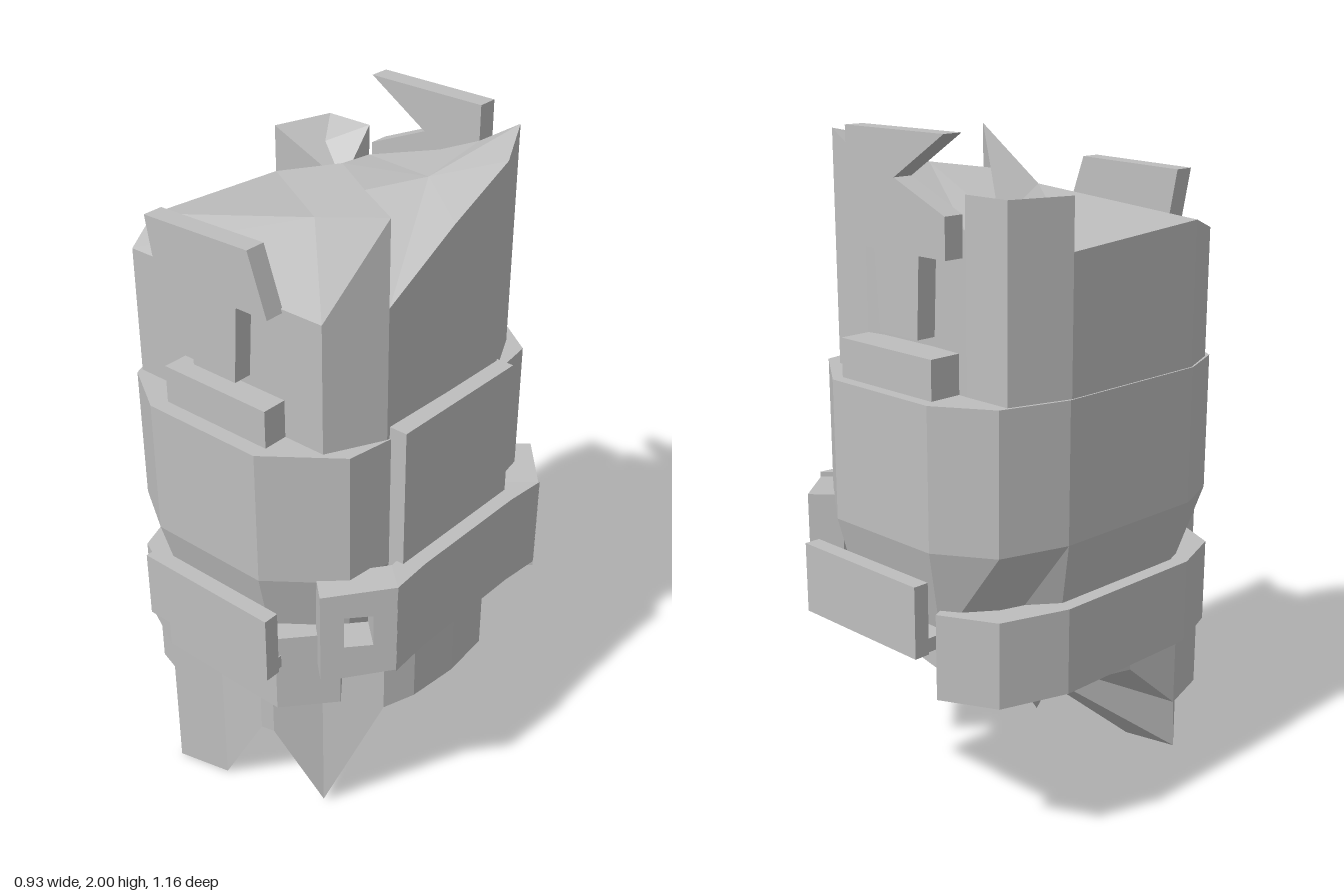
import * as THREE from 'three';

export function createModel() {
  const model = new THREE.Group();
  model.name = 'brokenSegmentedCapsule';
  const grey = new THREE.MeshStandardMaterial({ color: 0xbebebe });
  grey.name = 'stone grey';

  const add = (name, geo) => {
    const m = new THREE.Mesh(geo, grey);
    m.name = name;
    model.add(m);
    return m;
  };
  const box = (name, x0, x1, y0, y1, z0, z1) => {
    const g = new THREE.BoxGeometry(x1 - x0, y1 - y0, Math.abs(z1 - z0));
    g.translate((x0 + x1) / 2, (y0 + y1) / 2, (z0 + z1) / 2);
    return add(name, g);
  };
  const shapeOf = (pts) => new THREE.Shape(pts.map(([x, y]) => new THREE.Vector2(x, y)));
  const extrude = (shape, depth) => new THREE.ExtrudeGeometry(shape, { depth, bevelEnabled: false });

  // Upright prism from an x,z outline
  const prism = (name, plan, y0, y1) => {
    const g = extrude(shapeOf(plan.map(([x, z]) => [x, -z])), y1 - y0);
    g.rotateX(-Math.PI / 2).translate(0, y0, 0);
    return add(name, g);
  };

  // Faceted body through rings of [x, y, z], closed by fans at both ends
  const loft = (name, rings, bottom, top) => {
    const pos = [];
    const tri = (...p) => p.forEach((v) => pos.push(...v));
    const n = rings[0].length;
    const last = rings[rings.length - 1];
    for (let i = 0; i < n; i++) {
      const j = (i + 1) % n;
      for (let k = 0; k + 1 < rings.length; k++) {
        const lo = rings[k], hi = rings[k + 1];
        tri(lo[i], lo[j], hi[j]);
        tri(lo[i], hi[j], hi[i]);
      }
      tri(bottom, rings[0][j], rings[0][i]);
      tri(top, last[i], last[j]);
    }
    const g = new THREE.BufferGeometry();
    g.setAttribute('position', new THREE.Float32BufferAttribute(pos, 3));
    g.computeVertexNormals();
    return add(name, g);
  };

  // Upper drum, snapped into three chunks with stepped tops: x, z, top height
  const chunk = (name, pts, [cx, cy, cz]) => loft(name, [
    pts.map(([x, z]) => [x, 1.3, z]),
    pts.map(([x, z, y]) => [x, y, z]),
  ], [cx, 1.3, cz], [cx, cy, cz]);
  chunk('upperFrontChunk', [
    [-0.455, -0.21, 1.71], [-0.455, 0.28, 1.74], [-0.4, 0.41, 1.7], [0.27, 0.41, 1.7],
    [0.35, 0.25, 1.95], [0.06, 0, 1.86], [-0.25, -0.27, 1.77],
  ], [0, 1.81, 0.13]);
  chunk('upperBackChunk', [
    [0.35, 0.25, 1.71], [0.355, 0, 1.85], [0.355, -0.22, 1.95], [0.27, -0.39, 1.98],
    [0.14, -0.39, 1.9], [0.02, -0.37, 1.85], [-0.25, -0.39, 1.76], [-0.25, -0.27, 1.77], [0.06, 0, 1.86],
  ], [0.16, 1.88, -0.14]);
  chunk('upperCornerChunk', [
    [-0.455, -0.21, 1.85], [-0.25, -0.27, 1.71], [-0.25, -0.39, 1.85], [-0.4, -0.39, 1.85],
  ], [-0.35, 1.8, -0.31]);

  // Middle drum, tapering toward its foot, undercut at the left corners
  const mid = [
    [-0.24, 0.53], [0.14, 0.53], [0.335, 0.38], [0.355, 0.24], [0.355, -0.24], [0.335, -0.38],
    [0.14, -0.52], [-0.24, -0.52], [-0.4, -0.42, 0.76], [-0.46, -0.22], [-0.46, 0.28], [-0.4, 0.43, 0.76],
  ];
  loft('middleDrum', [
    mid.map(([x, z, s = 0.87]) => [x * s, 0.65, z * s]),
    mid.map(([x, z]) => [x, 0.93, z]),
    mid.map(([x, z]) => [x, 1.33, z]),
  ], [0, 0.65, 0], [0, 1.33, 0]);

  // Lower body with broken spikes: x, z, bottom height
  const lower = [
    [-0.4, 0.42, 0.3], [-0.285, 0.46, 0.31], [-0.275, 0.49, 0], [-0.11, 0.45, 0], [0.06, 0.46, 0.3],
    [0.1, 0.45, 0.3], [0.205, 0.35, 0.01], [0.37, 0.27, 0.43], [0.41, 0.18, 0.44], [0.425, 0.02, 0.44],
    [0.41, -0.14, 0.44], [0.36, -0.16, 0.6], [0.3, -0.3, 0.62], [0.14, -0.42, 0.6], [-0.24, -0.42, 0.52],
    [-0.37, -0.36, 0.52], [-0.42, -0.2, 0.5], [-0.43, 0.08, 0.46], [-0.45, 0.26, 0.3],
  ];
  loft('lowerBody', [
    lower.map(([x, z, y]) => [x, y, z]),
    lower.map(([x, z]) => [x, 0.65, z]),
  ], [0, 0.43, -0.05], [0, 0.65, 0]);

  // T-shaped plates on the upper drum
  const stem = [[0.14, 1.69], [0.035, 1.69], [0.02, 1.47], [-0.13, 1.47], [-0.14, 1.69]];
  const frontT = extrude(shapeOf([[-0.28, 1.85], [0.08, 1.86], ...stem, [-0.25, 1.69]]), 0.06);
  add('frontPlate', frontT.translate(0, 0, 0.405));
  const backT = extrude(shapeOf([[-0.24, 2], [0.14, 2], ...stem, [-0.24, 1.69], [-0.24, 1.8], [-0.05, 1.88]]), 0.06);
  add('backPlate', backT.translate(0, 0, -0.45));

  // Ledges and clips, front and back
  for (const [side, s] of [['front', 1], ['back', -1]]) {
    box(side + 'Ledge', -0.22, 0.14, 1.32, 1.44, s * 0.38, s * 0.485);
    box(side + 'Clip', -0.25, 0.21, 0.65, 0.855, s * 0.535, s * 0.582);
    box(side + 'ClipFoot', -0.24, 0.2, 0.65, 0.69, s * 0.42, s * 0.54);
  }

  // Side panel and the strap over it
  box('sidePanel', 0.33, 0.405, 0.9, 1.365, -0.23, 0.24);
  prism('sideStrap', [[0.46, 0.33], [0.45, 0.2], [0.45, -0.2], [0.46, -0.33], [0.385, -0.265], [0.36, 0], [0.385, 0.265]], 0.66, 0.95);

  // Angled strap ends with square holes
  const end = shapeOf([[-0.105, 0.645], [0.105, 0.665], [0.105, 0.95], [-0.105, 0.935]]);
  end.holes.push(new THREE.Path([[-0.04, 0.76], [-0.04, 0.86], [0.04, 0.86], [0.04, 0.76]].map(([x, y]) => new THREE.Vector2(x, y))));
  // The back end is mirrored so the taller edge always meets the strap
  for (const [name, s] of [['frontStrapEnd', 1], ['backStrapEnd', -1]]) {
    const g = extrude(end, 0.1).translate(0, 0, -0.1);
    g.rotateY(s > 0 ? 0.84 : Math.PI - 0.84).translate(0.39, 0, s * 0.407);
    add(name, g);
  }

  // Lower belt running round the front and left, open at the back
  const belt = [
    [0.31, 0.39], [0.19, 0.525], [-0.24, 0.525], [-0.4, 0.45],
    [-0.465, 0.28], [-0.465, -0.22], [-0.4, -0.42], [-0.24, -0.5],
  ];
  const inner = belt.map(([x, z]) => [x * 0.83, z * 0.83]).reverse();
  prism('lowerBelt', [...belt, ...inner], 0.5, 0.75);

  return model;
}
